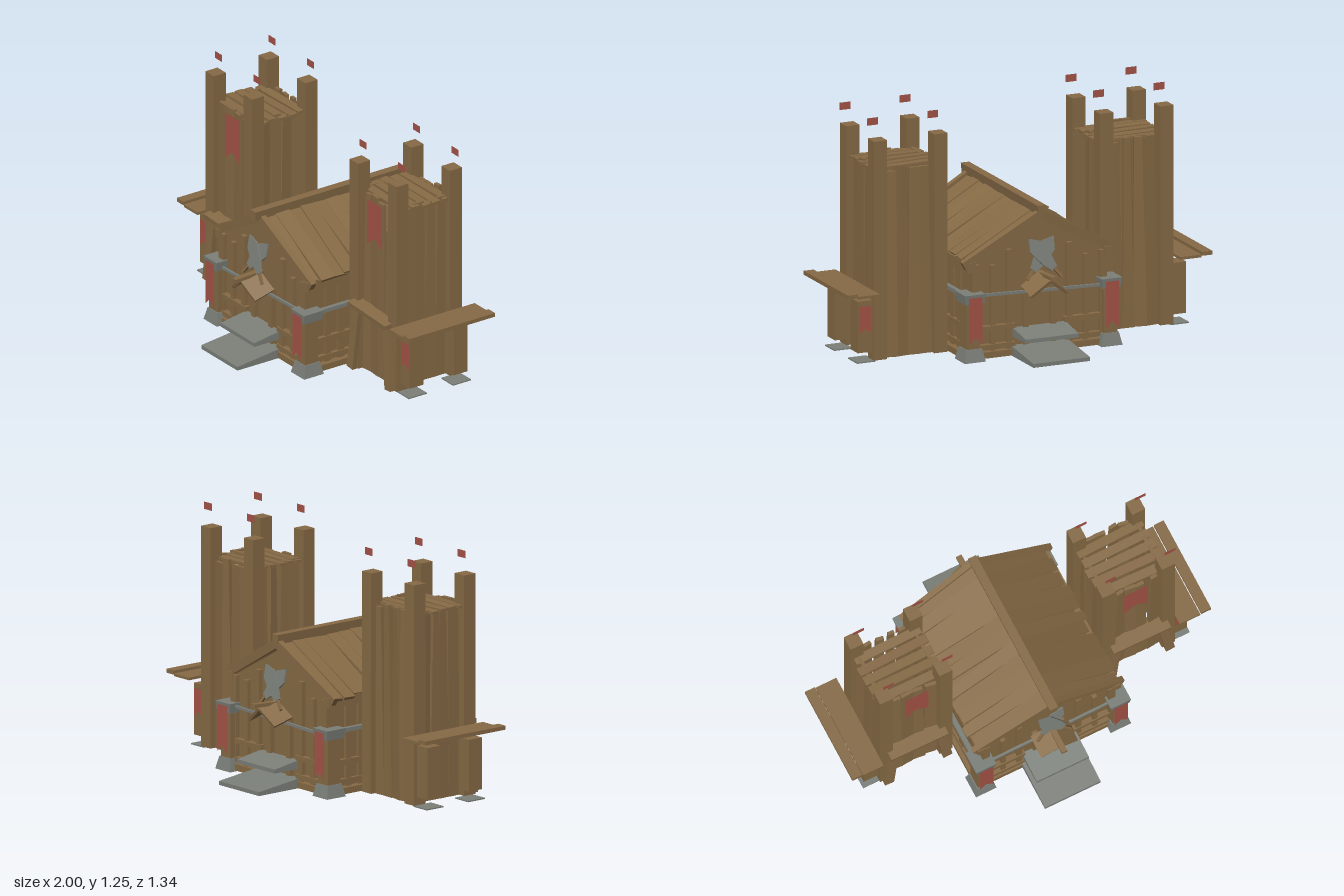
import * as THREE from 'three';

const mat = (name, color, extra = {}) => {
  const m = new THREE.MeshStandardMaterial({ color, ...extra });
  m.name = name;
  return m;
};

export function createModel() {
  const wood = mat('wood', 0x866a45);
  const stone = mat('grey stone', 0x7b7f78);
  const red = mat('red cloth', 0xa55346, { side: THREE.DoubleSide });
  const model = new THREE.Group();
  model.name = 'gatehouse';

  let seed = 11;
  const rnd = (a, b) => {
    seed = (seed * 16807) % 2147483647;
    return a + (b - a) * (seed / 2147483647);
  };

  const add = (parent, name, geo, material, pos, rot = [0, 0, 0]) => {
    const m = new THREE.Mesh(geo, material);
    m.name = name;
    m.position.set(...pos);
    m.rotation.set(...rot);
    parent.add(m);
    return m;
  };
  // box given by its two opposite corners
  const span = (parent, name, material, x0, x1, y0, y1, z0, z1) =>
    add(parent, name, new THREE.BoxGeometry(x1 - x0, y1 - y0, z1 - z0), material,
      [(x0 + x1) / 2, (y0 + y1) / 2, (z0 + z1) / 2]);
  // box whose top is scaled, and shifted sideways
  const taper = (w, h, d, sx, sz = 1, shift = 0) => {
    const g = new THREE.BoxGeometry(w, h, d);
    const p = g.attributes.position;
    for (let i = 0; i < p.count; i++) {
      if (p.getY(i) > 0) p.setXYZ(i, p.getX(i) * sx + shift, p.getY(i), p.getZ(i) * sz);
    }
    g.computeVertexNormals();
    return g;
  };
  const polygon = (pts) => new THREE.Shape(pts.map(([x, y]) => new THREE.Vector2(x, y)));
  const extrude = (pts, depth) =>
    new THREE.ExtrudeGeometry(polygon(pts), { depth, bevelEnabled: false });
  // swallow-tailed cloth hanging from y = 0
  const banner = (parent, w, h, notch, pos) =>
    add(parent, 'banner', new THREE.ShapeGeometry(polygon([
      [-w / 2, 0], [-w / 2, -h], [0, -h + notch], [w / 2, -h], [w / 2, 0]])), red, pos);

  // ---------- hall ----------
  const hall = new THREE.Group();
  hall.name = 'hall';
  model.add(hall);
  span(hall, 'floor', wood, -0.41, 0.41, 0.008, 0.04, -0.425, 0.425);
  add(hall, 'hallWalls', extrude(
    [[-0.37, 0.04], [0.37, 0.04], [0.37, 0.49], [0, 0.7], [-0.37, 0.49]], 0.78),
    wood, [0, 0, -0.39]);

  for (const s of [1, -1]) {
    // gable boards and rails on both ends
    for (const [x, w, top] of [[-0.165, 0.03, 0.55], [0.165, 0.03, 0.55], [-0.255, 0.025, 0.48],
      [0.255, 0.025, 0.48], [-0.35, 0.04, 0.49], [0.35, 0.04, 0.49]])
      span(hall, 'gableBoard', wood, x - w / 2, x + w / 2, 0.04, top, s * 0.4 - 0.012, s * 0.4 + 0.012);
    for (const y of [0.05, 0.145])
      for (const x of [-0.235, 0.235])
        span(hall, 'gableRail', wood, x - 0.1, x + 0.1, y, y + 0.025, s * 0.4 - 0.018, s * 0.4 + 0.018);
    for (const x of [-0.075, 0.075])
      span(hall, 'doorPost', wood, x - 0.015, x + 0.015, 0.04, 0.35, s * 0.4 - 0.015, s * 0.4 + 0.015);
    add(hall, 'crossRod', new THREE.BoxGeometry(0.7, 0.014, 0.012), stone, [0, 0.325, s * 0.42], [0, 0, 0.03]);

    // side rails, studs and eave beam
    for (const y of [0.05, 0.15])
      span(hall, 'sideRail', wood, s * 0.375 - 0.015, s * 0.375 + 0.015, y, y + 0.03, -0.36, 0.36);
    for (const z of [-0.28, -0.2, 0.2, 0.28])
      span(hall, 'sideStud', wood, s * 0.375 - 0.01, s * 0.375 + 0.01, 0.04, 0.48, z - 0.018, z + 0.018);
    span(hall, 'eaveBeam', wood, s * 0.375 - 0.022, s * 0.375 + 0.022, 0.455, 0.505, -0.415, 0.415);
    span(hall, 'sideRod', stone, s * 0.4 - 0.012, s * 0.4 + 0.012, 0.325, 0.345, -0.36, 0.36);

    // stone steps, thinner at the outer edge
    for (const [y0, y1, zo, w] of [[0.004, 0.055, 0.67, 0.31], [0.1, 0.145, 0.56, 0.29]]) {
      const prof = [[0.4, y0], [zo, y0], [zo, y0 + 0.02], [0.4, y1]];
      add(hall, 'step', extrude(prof, w), stone, [s * -w / 2 * -1, 0, 0], [0, s > 0 ? -Math.PI / 2 : Math.PI / 2, 0]);
    }

    // canopy above the door
    for (const t of [1, -1])
      add(hall, 'doorCanopy', new THREE.BoxGeometry(0.125, 0.014, 0.12), wood,
        [t * 0.05, 0.375, s * 0.475], [s * 0.25, 0, -t * 0.68]);
    add(hall, 'canopyRidge', new THREE.BoxGeometry(0.03, 0.018, 0.17), wood,
      [0, 0.418, s * 0.495], [0.05, 0, 0]);

    // crossed blades leaning against the gable
    const crest = new THREE.Group();
    crest.name = 'crossedBlades';
    crest.position.set(0, 0.51, s * 0.445);
    crest.rotation.x = -s * 0.2;
    hall.add(crest);
    for (const t of [1, -1]) {
      const z = t * 0.006;
      add(crest, 'blade', extrude([[-0.018, -0.09], [0.018, -0.09], [0.034, -0.03], [0.042, 0.06],
        [0, 0.115], [-0.042, 0.06], [-0.034, -0.03]], 0.008), stone, [0, 0, z - 0.004], [0, 0, t * 0.66]);
      add(crest, 'handle', new THREE.BoxGeometry(0.014, 0.06, 0.012), wood,
        [t * 0.072, -0.09, z], [0, 0, t * 0.66]);
    }

    // corner pillars with stone feet and caps
    for (const t of [1, -1]) {
      const x = t * 0.375, z = s * 0.4;
      span(hall, 'cornerPillar', wood, x - 0.037, x + 0.037, 0.01, 0.34, z - 0.04, z + 0.04);
      add(hall, 'pillarFoot', taper(0.115, 0.065, 0.12, 0.75, 0.75), stone, [x, 0.036, z]);
      add(hall, 'pillarCap', taper(0.1, 0.05, 0.11, 1.12, 1.1), stone, [x, 0.327, z]);
      banner(hall, 0.074, 0.24, 0.035, [x, 0.338, s * 0.463]);
    }
  }

  // ---------- roof ----------
  const slope = 0.51;
  for (const t of [1, -1]) {
    const side = new THREE.Group();
    side.name = 'roofSide';
    side.position.set(0, 0.735, 0);
    side.rotation.z = -t * slope;
    hall.add(side);
    span(side, 'roofDeck', wood, t > 0 ? 0 : -0.45, t > 0 ? 0.45 : 0, -0.04, -0.022, -0.4, 0.4);
    // uneven boards running down the slope
    for (let i = 0; i < 11; i++) {
      const len = rnd(0.44, 0.475);
      add(side, 'roofBoard', taper(0.08, len, 0.016, rnd(0.6, 1.05), 1, rnd(-0.012, 0.012)), wood,
        [t * len / 2, -0.012 + rnd(-0.004, 0.004), -0.375 + i * 0.075],
        [Math.PI / 2 + rnd(-0.06, 0.06), 0, -t * Math.PI / 2]);
    }
    for (const s of [1, -1])
      add(side, 'bargeBoard', new THREE.BoxGeometry(0.48, 0.045, 0.03), wood,
        [t * 0.24, -0.015, s * 0.405], [0, s * t * 0.05, 0]);
  }
  add(hall, 'ridgeBeam', taper(0.035, 0.05, 0.9, 1.3), wood, [0, 0.74, 0.015]);

  // ---------- towers ----------
  const buildTower = (t) => {
    const tower = new THREE.Group();
    tower.name = t > 0 ? 'leftTower' : 'rightTower';
    model.add(tower);
    const cx = t * 0.62;
    for (const x of [t * 0.455, t * 0.785])
      for (const z of [0.137, -0.188]) {
        span(tower, 'cornerPost', wood, x - 0.036, x + 0.036, 0.008, 1.135, z - 0.037, z + 0.037);
        add(tower, 'flag', new THREE.PlaneGeometry(0.06, 0.038), red, [x + 0.027, 1.23, z]);
      }
    // crooked wall boards between the posts
    const board = (x, z, turn) => {
      const h = rnd(0.955, 0.985);
      add(tower, 'wallBoard', taper(rnd(0.062, 0.074), h, 0.018, rnd(0.5, 1.05), 1, rnd(-0.015, 0.015)), wood,
        [x, 0.008 + h / 2, z], [0, turn + rnd(-0.18, 0.18), 0]);
    };
    for (let i = 0; i < 4; i++) {
      for (const z of [0.135, -0.19]) board(cx - 0.095 + i * 0.063, z, 0);
      for (const x of [0.465, 0.775]) board(t * x, -0.12 + i * 0.063, Math.PI / 2);
    }
    // top deck slats with gaps
    for (let i = 0; i < 5; i++)
      add(tower, 'deckSlat', new THREE.BoxGeometry(rnd(0.36, 0.4), 0.014, 0.046), wood,
        [cx, 0.968 + rnd(0, 0.012), -0.142 + i * 0.06], [rnd(-0.08, 0.08), rnd(-0.03, 0.03), rnd(-0.02, 0.02)]);
    banner(tower, 0.13, 0.245, 0.05, [t * 0.61, 0.96, 0.158]);

    // front shelf on splayed legs
    add(tower, 'frontShelf', new THREE.BoxGeometry(0.32, 0.024, 0.1), wood, [cx, 0.365, 0.165], [0.1, 0, -0.05]);
    for (const s of [1, -1])
      add(tower, 'shelfLeg', new THREE.BoxGeometry(0.05, 0.355, 0.025), wood,
        [cx + s * 0.145, 0.185, 0.183], [-0.04, 0, s * 0.1]);

    // outer side shelf, its blocks and stone footings
    add(tower, 'sideShelf', new THREE.BoxGeometry(0.115, 0.014, 0.52), wood, [t * 0.882, 0.362, -0.04]);
    add(tower, 'sideShelfEdge', new THREE.BoxGeometry(0.055, 0.02, 0.52), wood, [t * 0.972, 0.372, -0.04]);
    for (const z of [0.107, -0.162]) {
      span(tower, 'sideBlock', wood, t * 0.86 - 0.04, t * 0.86 + 0.04, 0.05, 0.315, z - 0.042, z + 0.042);
      span(tower, 'footing', stone, t * 0.86 - 0.05, t * 0.86 + 0.05, 0, 0.006, z - 0.055, z + 0.055);
    }
    banner(tower, 0.068, 0.14, 0.025, [t * 0.862, 0.288, 0.152]);
    if (t > 0) banner(tower, 0.068, 0.14, 0.025, [t * 0.862, 0.288, -0.207]);
  };
  buildTower(1);
  buildTower(-1);
  return model;
}
